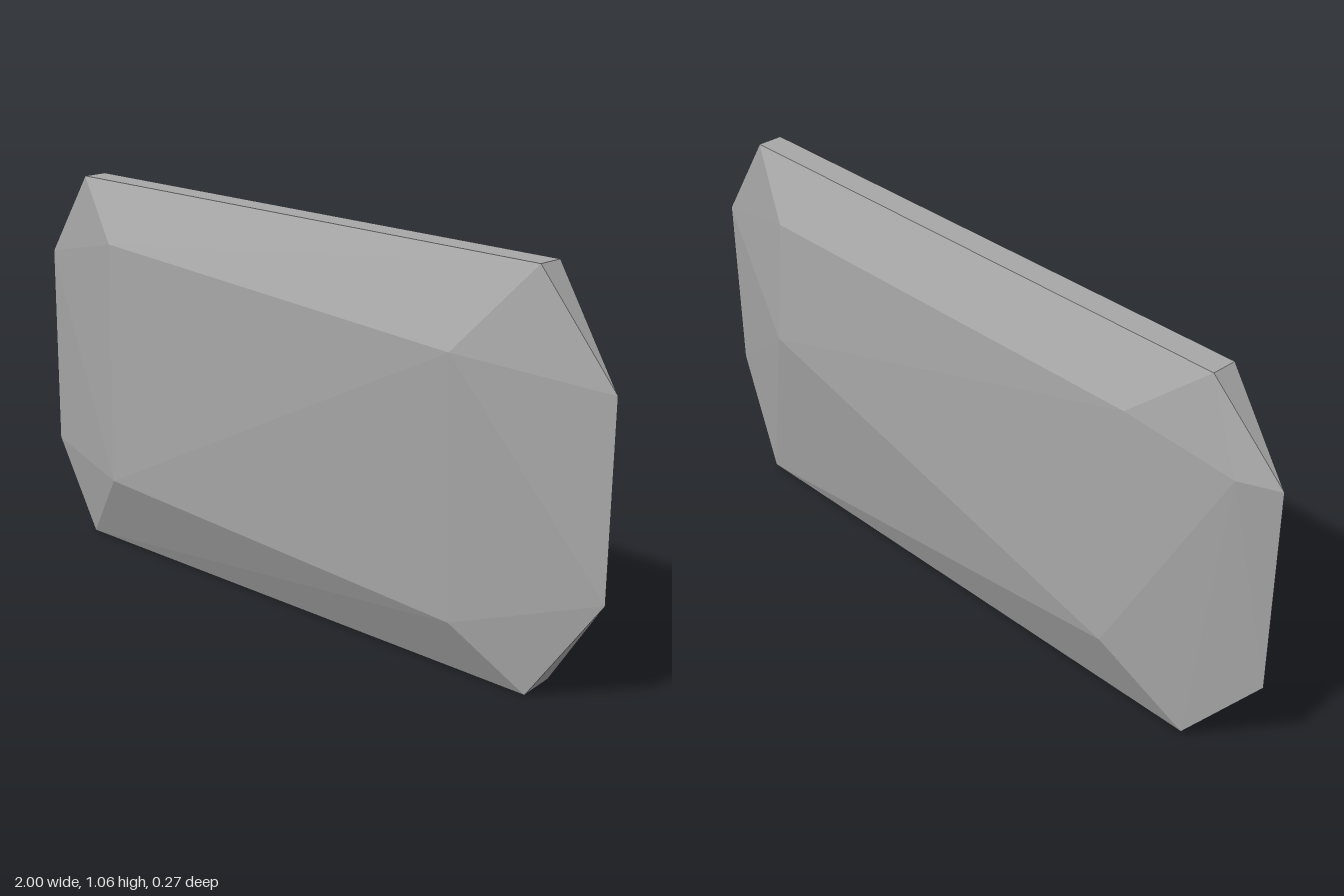
import * as THREE from 'three';
import { ConvexGeometry } from 'three/addons/geometries/ConvexGeometry.js';

export function createModel() {
  const group = new THREE.Group();
  group.name = 'stoneSlab';
  const stone = new THREE.MeshStandardMaterial({ color: 0xa6a6a6 });
  stone.name = 'stone grey';

  // Corners of the chipped, bevelled slab
  const front = [
    [-0.62, 0.90, 0.115], [0.62, 0.835, 0.137],
    [-0.60, 0.228, 0.138], [0.62, 0.157, 0.117],
  ];
  const back = [
    [0.63, 0.903, -0.11], [0.63, 0.56, -0.137],
    [-0.62, 0.90, -0.11], [-0.91, 0.827, -0.055], [-0.60, 0.23, -0.135],
  ];
  const ends = [
    [-1, 0.81, 0.01], [-1, 0.24, 0.01],
    [1, 0.78, 0], [1, 0.28, 0.01],
  ];
  // Narrow top and bottom edges, the same at both ends
  const edges = [-0.81, 0.80].flatMap((x) => [
    [x, 1.056, 0.037], [x, 1.056, -0.034],
    [x, 0, 0.04], [x, 0.013, -0.05],
  ]);

  const points = [...front, ...back, ...ends, ...edges].map((p) => new THREE.Vector3(...p));
  const slab = new THREE.Mesh(new ConvexGeometry(points), stone);
  slab.name = 'slab';
  group.add(slab);
  return group;
}
